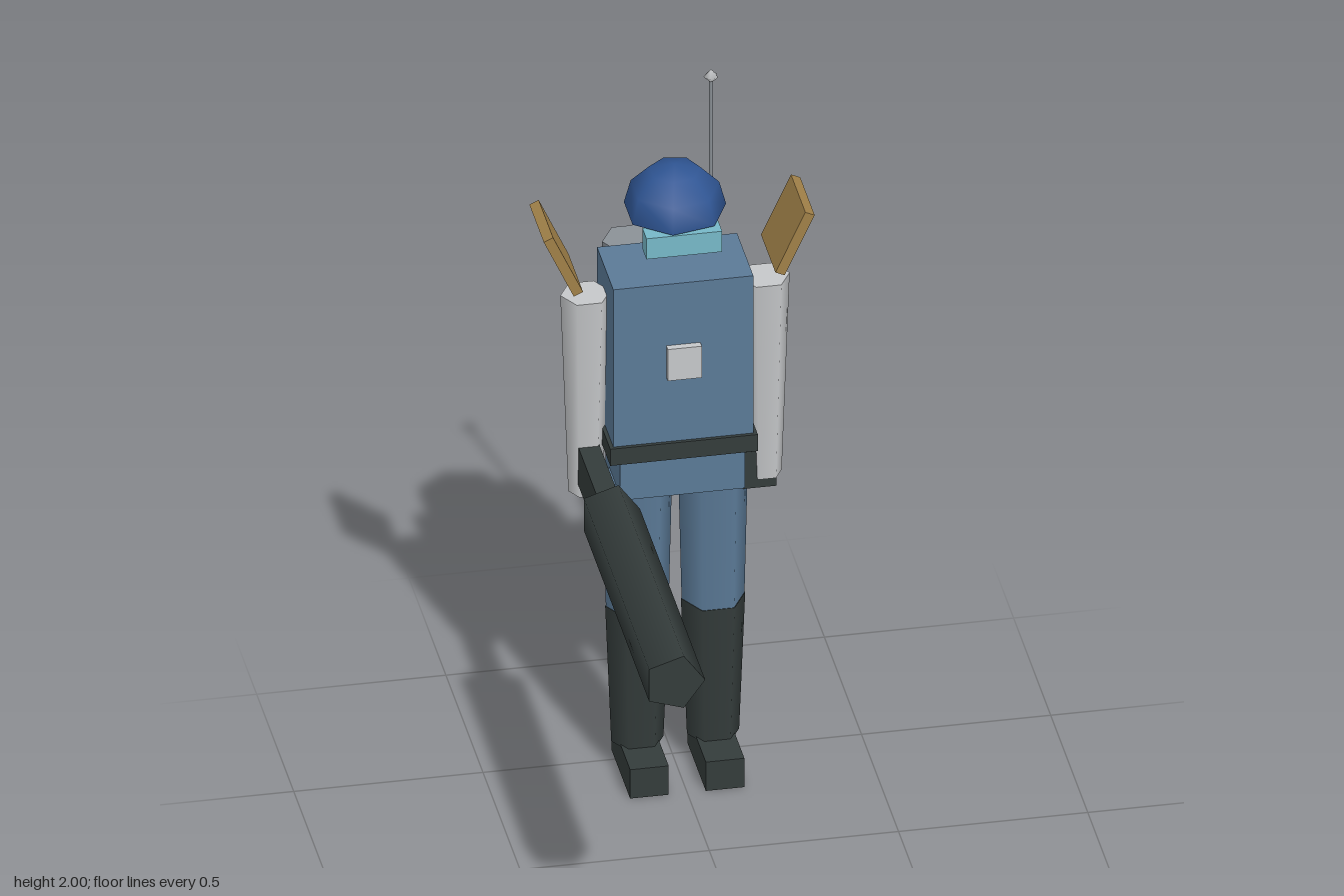
import * as THREE from 'three';

const mat = (name, color) => {
  const m = new THREE.MeshStandardMaterial({ color });
  m.name = name;
  return m;
};

export function createModel() {
  const blue = mat('uniform blue', 0x5b7a97);
  const dark = mat('dark gear', 0x343c3b);
  const navy = mat('helmet blue', 0x2f5593);
  const teal = mat('visor teal', 0x77b8c8);
  const light = mat('sleeve light grey', 0xc6c8ca);
  const grey = mat('tank grey', 0x8b9197);
  const tan = mat('pad tan', 0xa08048);
  const group = new THREE.Group();
  const Z = -0.46; // body centre depth

  const add = (name, geo, material, x, y, z) => {
    const mesh = new THREE.Mesh(geo, material);
    mesh.name = name;
    mesh.position.set(x, y, z);
    group.add(mesh);
    return mesh;
  };
  // Box given by its min and max corners
  const box = (name, m, x0, x1, y0, y1, z0, z1) =>
    add(name, new THREE.BoxGeometry(x1 - x0, y1 - y0, z1 - z0), m,
      (x0 + x1) / 2, (y0 + y1) / 2, (z0 + z1) / 2);
  // Upright prism with a corner pointing to +x
  const prism = (name, m, x, z, y0, y1, rBottom, rTop, sides = 6) =>
    add(name, new THREE.CylinderGeometry(rTop, rBottom, y1 - y0, sides, 1, false, Math.PI / 2), m,
      x, (y0 + y1) / 2, z);

  // Body
  box('torso', blue, -0.185, 0.185, 1.0, 1.51, -0.57, -0.35);
  box('hips', blue, -0.165, 0.165, 0.865, 1.0, -0.56, -0.36);
  box('belt', dark, -0.195, 0.195, 0.985, 1.035, -0.58, -0.34);
  box('chestPlate', light, -0.045, 0.045, 1.23, 1.325, -0.355, -0.33);

  // Limbs, shoulder pads and back tanks
  for (const [side, s] of [['left', 1], ['right', -1]]) {
    prism(side + 'Leg', blue, s * 0.1, Z, 0.48, 0.88, 0.083, 0.092);
    prism(side + 'BootShaft', dark, s * 0.1, Z, 0.08, 0.49, 0.069, 0.085);
    box(side + 'Foot', dark, s * 0.1 - 0.051, s * 0.1 + 0.051, 0, 0.087, -0.545, -0.297);
    prism(side + 'Arm', light, s * 0.237, Z - 0.003, 0.847, 1.44, 0.045, 0.066);
    const pad = add(side + 'ShoulderPad', new THREE.BoxGeometry(0.027, 0.19, 0.195), tan,
      s * 0.306, 1.56, -0.503);
    pad.rotation.z = -s * 0.43;
    prism(side + 'Tank', grey, s * 0.077, -0.66, 1.03, 1.47, 0.077, 0.077);
  }
  box('holster', dark, 0.15, 0.262, 0.82, 0.93, -0.502, -0.43);

  // Helmet dome with closed underside, and visor
  const dome = add('helmet', new THREE.SphereGeometry(0.136, 7, 3, 0, Math.PI * 2, 0, Math.PI / 2),
    navy, 0, 1.665, -0.468);
  dome.rotation.y = Math.PI;
  const base = add('helmetUnderside', new THREE.CircleGeometry(0.136, 7), navy, 0, 1.665, -0.468);
  base.rotation.x = Math.PI / 2;
  box('visor', teal, -0.1, 0.1, 1.6, 1.662, -0.392, -0.337);

  // Antenna
  prism('antennaRod', grey, 0.12, -0.59, 1.46, 1.98, 0.006, 0.006, 5);
  add('antennaTip', new THREE.SphereGeometry(0.02, 5, 2), light, 0.12, 1.98, -0.59);

  // Arm cannon
  box('cannonGrip', dark, -0.263, -0.207, 0.885, 1.0, -0.44, -0.15);
  const barrel = prism('cannonBarrel', dark, -0.235, 0.286, 0.52, 1.4, 0.082, 0.082, 5);
  barrel.rotation.x = Math.PI / 2;

  return group;
}
